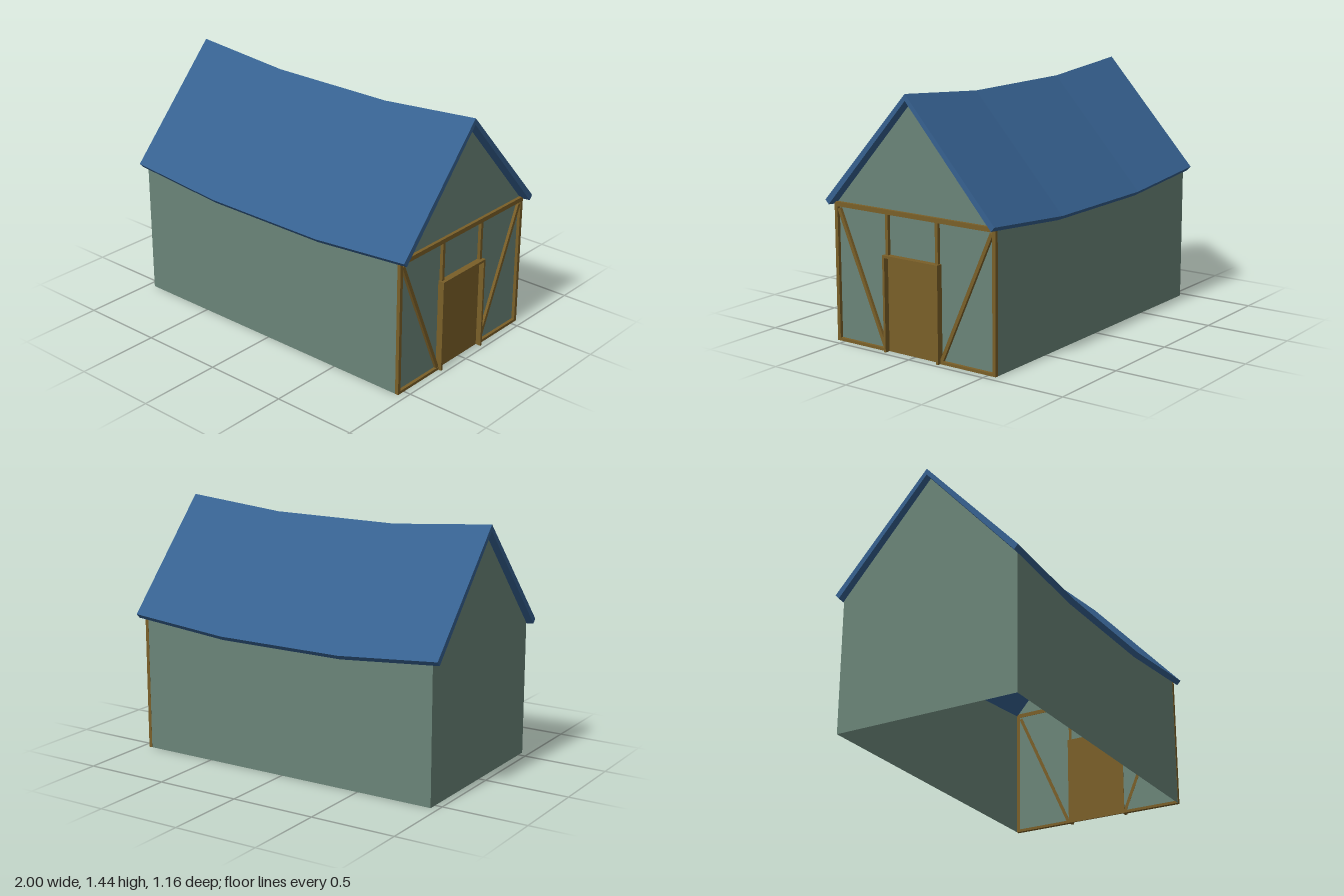
import * as THREE from 'three';

const flat = (name, color) => {
  const m = new THREE.MeshStandardMaterial({ color, side: THREE.DoubleSide, flatShading: true });
  m.name = name;
  return m;
};

export function createModel() {
  const house = new THREE.Group();
  house.name = 'house';
  const plaster = flat('plaster green', 0x6a8478);
  const timber = flat('timber brown', 0x7a5f28);
  const slate = flat('roof blue', 0x366190);

  const add = (parent, name, geometry, material) => {
    const mesh = new THREE.Mesh(geometry, material);
    mesh.name = name;
    parent.add(mesh);
    return mesh;
  };
  const panel = (points) =>
    new THREE.ShapeGeometry(new THREE.Shape(points.map(([x, y]) => new THREE.Vector2(x, y))));

  // Long walls, their tops following the sagging eaves
  const W = 0.957, D = 0.55;
  const side = panel([[-W, 0], [W, 0], [W, 0.787], [0.39, 0.74], [-0.39, 0.74], [-W, 0.787]]);
  add(house, 'frontWall', side, plaster).position.z = D;
  const back = add(house, 'backWall', side, plaster);
  back.rotation.y = Math.PI;
  back.position.z = -D;

  // Gable ends; the timbered one is set back behind its frame
  const gable = panel([[-D, 0], [D, 0], [D, 0.787], [0, 1.402], [-D, 0.787]]);
  const doorGable = add(house, 'doorGable', gable, plaster);
  doorGable.rotation.y = Math.PI / 2;
  doorGable.position.x = 0.938;
  const plainGable = add(house, 'plainGable', gable, plaster);
  plainGable.rotation.y = -Math.PI / 2;
  plainGable.position.x = -W;

  // Sagging roof: one chevron section swept along the ridge
  const section = [[0.578, 0.81], [0, 1.442], [-0.578, 0.81], [-0.555, 0.785], [0, 1.405], [0.555, 0.785]];
  const stations = [[-1, 0], [-0.39, -0.052], [0.39, -0.052], [1, 0]];
  const verts = [];
  const point = (s, i) => [stations[s][0], section[i % 6][1] + stations[s][1], section[i % 6][0]];
  const quad = (a, b, c, d) => verts.push(...a, ...b, ...c, ...a, ...c, ...d);
  for (let s = 0; s < 3; s++) {
    for (let i = 0; i < 6; i++) {
      quad(point(s, i), point(s + 1, i), point(s + 1, i + 1), point(s, i + 1));
    }
  }
  for (const [a, b, c, d] of [[0, 1, 4, 5], [1, 2, 3, 4]]) {
    quad(point(0, a), point(0, b), point(0, c), point(0, d));
    quad(point(3, d), point(3, c), point(3, b), point(3, a));
  }
  const roofGeometry = new THREE.BufferGeometry();
  roofGeometry.setAttribute('position', new THREE.Float32BufferAttribute(verts, 3));
  roofGeometry.computeVertexNormals();
  add(house, 'roof', roofGeometry, slate);

  // Timber frame and door on the gable end
  const frame = new THREE.Group();
  frame.name = 'timberFrame';
  house.add(frame);
  const beam = (name, z0, z1, y0, y1, x1 = W, x0 = 0.936) => {
    const g = new THREE.BoxGeometry(x1 - x0, y1 - y0, Math.abs(z1 - z0));
    add(frame, name, g, timber).position.set((x0 + x1) / 2, (y0 + y1) / 2, (z0 + z1) / 2);
  };
  beam('topBeam', -0.551, 0.551, 0.77, 0.796);
  const doorMid = 0.007;
  for (const s of [1, -1]) {
    beam('cornerPost', s * 0.53, s * 0.551, 0, 0.77);
    beam('sill', s * 0.53, doorMid + s * 0.185, 0, 0.016);
    beam('upperPost', doorMid + s * 0.162, doorMid + s * 0.181, 0.54, 0.77);
    beam('doorPost', doorMid + s * 0.176, doorMid + s * 0.19, 0, 0.532, 0.976);

    // Diagonal brace from the upper corner to the foot of the door
    const foot = new THREE.Vector2(doorMid + s * 0.195, 0.014);
    const head = new THREE.Vector2(s * 0.523, 0.76);
    const brace = add(frame, 'brace',
      new THREE.BoxGeometry(0.018, foot.distanceTo(head), 0.02), timber);
    brace.position.set(0.946, (foot.y + head.y) / 2, (foot.x + head.x) / 2);
    brace.rotation.x = Math.atan2(head.x - foot.x, head.y - foot.y);
  }
  beam('doorLintel', doorMid - 0.19, doorMid + 0.19, 0.532, 0.546, 0.976);
  beam('door', doorMid - 0.176, doorMid + 0.176, 0, 0.532, 0.944);

  return house;
}
